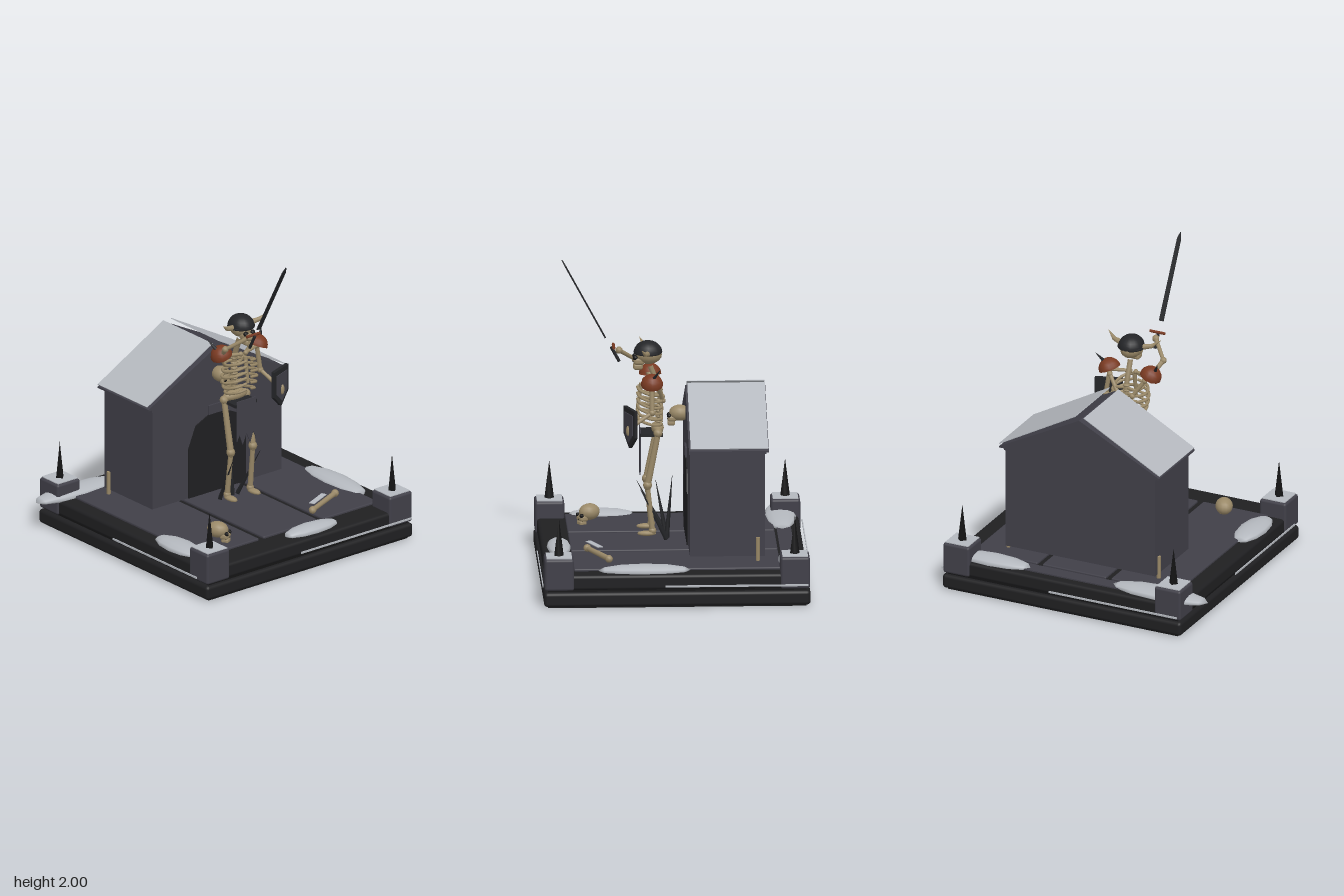
import * as THREE from 'three';
import { RoundedBoxGeometry } from 'three/addons/geometries/RoundedBoxGeometry.js';

const mat = (name, color, extra = {}) => {
  const m = new THREE.MeshStandardMaterial({ color, ...extra });
  m.name = name;
  return m;
};
const V = (x, y, z) => new THREE.Vector3(x, y, z);
const CX = 0.055; // shared centre line of base, house and skeleton

export function createModel() {
  const model = new THREE.Group();
  model.name = 'graveyardGuardian';
  const stone = mat('stone', 0x403f48);
  const darkStone = mat('darkStone', 0x1f1f21);
  const iron = mat('iron', 0x242528, { side: THREE.DoubleSide });
  const bone = mat('bone', 0x9a8968);
  const rust = mat('rust', 0x7a3a22, { side: THREE.DoubleSide });
  const snow = mat('snow', 0xb4b8be, { side: THREE.DoubleSide });
  const black = mat('black', 0x141415);

  const add = (name, geo, m, x = 0, y = 0, z = 0, parent = model) => {
    const mesh = new THREE.Mesh(geo, m);
    mesh.name = name;
    mesh.position.set(x, y, z);
    parent.add(mesh);
    return mesh;
  };
  const group = (name, parent = model) => {
    const g = new THREE.Group();
    g.name = name;
    parent.add(g);
    return g;
  };
  // box given by its limits
  const block = (name, m, x0, x1, y0, y1, z0, z1, r = 0, parent = model) => {
    const s = [x1 - x0, y1 - y0, z1 - z0];
    const geo = r ? new RoundedBoxGeometry(...s, 2, r) : new THREE.BoxGeometry(...s);
    return add(name, geo, m, (x0 + x1) / 2, (y0 + y1) / 2, (z0 + z1) / 2, parent);
  };
  // tapered rod between two points
  const rod = (name, m, a, b, r0, r1, sides, parent) => {
    const mesh = add(name, new THREE.CylinderGeometry(r1, r0, a.distanceTo(b), sides), m, 0, 0, 0, parent);
    mesh.position.copy(a).lerp(b, 0.5);
    mesh.quaternion.setFromUnitVectors(V(0, 1, 0), b.clone().sub(a).normalize());
    return mesh;
  };
  // shaft with a knob at both ends
  const limb = (name, a, b, r, parent) => {
    const g = group(name, parent);
    rod('shaft', bone, a, b, r * 0.85, r, 8, g);
    for (const p of [a, b]) add('knob', new THREE.SphereGeometry(r * 1.35, 8, 6), bone, p.x, p.y, p.z, g);
    return g;
  };
  const tube = (name, m, pts, r, parent) =>
    add(name, new THREE.TubeGeometry(new THREE.CatmullRomCurve3(pts), 14, r, 6), m, 0, 0, 0, parent);
  const plate = (name, pts, depth, m, parent = model) => {
    const shape = new THREE.Shape(pts.map(([x, y]) => new THREE.Vector2(x, y)));
    return add(name, new THREE.ExtrudeGeometry(shape, { depth, bevelEnabled: false }), m, 0, 0, 0, parent);
  };
  // skull facing +z, about 0.07 in radius
  const skull = (name, x, y, z, s, parent = model) => {
    const g = group(name, parent);
    g.position.set(x, y, z);
    g.scale.setScalar(s);
    add('cranium', new THREE.SphereGeometry(0.07, 14, 10), bone, 0, 0.01, -0.01, g).scale.set(0.95, 0.9, 1.2);
    add('cheeks', new RoundedBoxGeometry(0.085, 0.05, 0.07, 2, 0.02), bone, 0, -0.03, 0.05, g);
    add('jaw', new RoundedBoxGeometry(0.065, 0.04, 0.06, 2, 0.015), bone, 0, -0.067, 0.056, g);
    for (const e of [-1, 1]) add('eyeSocket', new THREE.SphereGeometry(0.017, 8, 6), black, e * 0.027, -0.008, 0.073, g);
    add('noseHole', new THREE.ConeGeometry(0.008, 0.018, 3), black, 0, -0.033, 0.083, g);
    return g;
  };

  // stepped base and paving
  block('lowerSlab', darkStone, -0.77, 0.88, 0.01, 0.102, -0.825, 0.825, 0.022);
  block('joint', black, -0.74, 0.85, 0, 0.13, -0.8, 0.8);
  block('upperSlab', darkStone, -0.755, 0.865, 0.113, 0.208, -0.81, 0.81, 0.02);
  for (const [x0, x1] of [[-0.65, -0.2], [-0.163, 0.275], [0.31, 0.75]]) {
    block('pavingStone', stone, x0, x1, 0.19, 0.222, -0.645, 0.635, 0.008);
  }
  block('backKerb', stone, -0.58, 0.69, 0.19, 0.216, -0.75, -0.66);

  // thin lines of snow on the four faces
  block('snowLine', snow, -0.025, 0.86, 0.134, 0.146, 0.828, 0.834);
  block('snowLine', snow, -0.75, 0.135, 0.134, 0.146, -0.842, -0.836);
  block('snowLine', snow, -0.783, -0.777, 0.134, 0.146, -0.085, 0.735);
  block('snowLine', snow, 0.883, 0.889, 0.134, 0.146, -0.81, 0.075);

  // corner posts with snow caps and spikes
  for (const sx of [-1, 1]) for (const sz of [-1, 1]) {
    const p = group('cornerPost');
    p.position.set(CX + sx * 0.73, 0, sz * 0.73);
    add('post', new RoundedBoxGeometry(0.182, 0.2, 0.182, 2, 0.016), stone, 0, 0.213, 0, p);
    add('snowCap', new THREE.BoxGeometry(0.158, 0.005, 0.158), snow, 0, 0.317, 0, p);
    add('spike', new THREE.ConeGeometry(0.03, 0.24, 4), black, 0, 0.436, 0, p);
  }

  // snow drifts: centre x, z, half length, half width, turned along z?
  for (const [x, z, l, w, alongZ] of [[-0.567, -0.695, 0.328, 0.098, 0], [0.58, -0.715, 0.26, 0.083, 0],
    [-0.655, 0.41, 0.205, 0.092, 1], [0.763, 0.2, 0.285, 0.085, 1], [0.157, 0.705, 0.205, 0.075, 0]]) {
    const geo = new THREE.SphereGeometry(1, 12, 6).rotateZ(Math.PI / 2).scale(l, 0.036, w);
    if (alongZ) geo.rotateY(Math.PI / 2);
    add('snowDrift', geo, snow, x, 0.215, z);
  }

  // tomb house
  const house = group('tombHouse');
  block('walls', stone, -0.46, 0.573, 0.25, 0.925, -0.555, -0.09, 0, house);
  block('wallTrim', stone, -0.467, 0.58, 0.9, 0.92, -0.562, -0.083, 0, house);
  plate('roof', [[-0.497, 0.918], [0.607, 0.918], [0.607, 0.928], [CX, 1.212], [-0.497, 0.928]], 0.495, stone, house)
    .position.z = -0.577;
  for (const s of [-1, 1]) {
    const p = add('roofSnow', new THREE.BoxGeometry(0.6, 0.005, 0.48), snow, CX + s * 0.292, 1.088, -0.333, house);
    p.rotation.z = -s * 0.505;
  }
  plate('doorway', [[-0.175, 0.25], [0.285, 0.25], [0.285, 0.575], [0.225, 0.72], [CX, 0.8], [-0.115, 0.72],
    [-0.175, 0.575]], 0.008, darkStone, house).position.z = -0.09;
  block('keystone', stone, CX - 0.07, CX + 0.07, 0.77, 0.83, -0.09, -0.078, 0, house);
  skull('gableSkull', CX, 1.03, -0.04, 0.8, house);

  // dark thorns behind the legs
  for (const [x, tx, ty, tz] of [[-0.02, -0.06, 0.58, 0.215], [0.03, 0.02, 0.6, 0.1], [0.08, 0.085, 0.645, 0.0],
    [0.12, 0.17, 0.58, 0.2]]) {
    rod('thorn', iron, V(x, 0.25, 0.035), V(tx, ty, tz), 0.017, 0.001, 4, model);
  }

  // skeleton
  const sk = group('skeleton');
  const head = skull('head', CX, 1.405, 0.155, 1, sk);
  add('helmet', new THREE.SphereGeometry(0.084, 16, 8, 0, Math.PI * 2, 0, Math.PI / 2), iron, 0, 0.02, -0.006, head)
    .scale.set(0.97, 0.9, 1.06);
  const band = add('helmetBand', new THREE.TorusGeometry(0.08, 0.007, 6, 20), iron, 0, 0.02, -0.006, head);
  band.rotation.x = Math.PI / 2;
  for (const s of [-1, 1]) {
    rod('horn', bone, V(s * 0.07, 0.025, 0), V(s * 0.13, 0.037, 0.015), 0.019, 0.014, 7, head);
    rod('hornTip', bone, V(s * 0.128, 0.036, 0.014), V(s * 0.182, 0.075, 0.04), 0.014, 0.001, 7, head);
  }
  tube('spine', bone, [V(CX, 0.92, 0.09), V(CX, 1.05, 0.07), V(CX, 1.2, 0.085), V(CX, 1.34, 0.135)], 0.018, sk);
  for (let i = 0; i < 8; i++) {
    add('vertebra', new THREE.SphereGeometry(0.024, 8, 5), bone, CX, 0.95 + i * 0.034, 0.08, sk).scale.y = 0.5;
  }
  rod('breastbone', bone, V(CX, 1.06, 0.215), V(CX, 1.23, 0.19), 0.01, 0.014, 6, sk);
  for (const s of [-1, 1]) {
    // ribs sweep from the spine round to the breastbone
    for (let i = 0; i < 6; i++) {
      const y = 1.175 - i * 0.038, w = [0.095, 0.115, 0.122, 0.118, 0.108, 0.092][i];
      tube('rib', bone, [V(CX, y, 0.075), V(CX + s * w * 0.7, y - 0.006, 0.07), V(CX + s * w, y, 0.13),
        V(CX + s * w * 0.7, y + 0.022, 0.2), V(CX + s * 0.012, y + 0.035, 0.215)], 0.0095, sk);
    }
    limb('collarbone', V(CX + s * 0.02, 1.245, 0.17), V(CX + s * 0.14, 1.248, 0.13), 0.012, sk);
    limb('shoulderBlade', V(CX + s * 0.05, 1.13, 0.06), V(CX + s * 0.12, 1.235, 0.09), 0.014, sk);

    // shoulder armour
    const pad = group('shoulderArmour', sk);
    pad.position.set(CX + s * 0.14, 1.252, 0.13);
    pad.rotation.z = -s * 0.4;
    add('dome', new THREE.SphereGeometry(0.07, 12, 6, 0, Math.PI * 2, 0, Math.PI / 2), rust, 0, 0, 0, pad);
    rod('spike', iron, V(s * 0.015, 0.06, -0.01), V(s * 0.025, 0.132, -0.05), 0.012, 0.001, 6, pad);

    // legs
    const x = CX + s * 0.088;
    limb('thigh', V(x, 0.93, 0.09), V(x, 0.6, 0.155), 0.021, sk);
    limb('shin', V(x, 0.59, 0.155), V(x + s * 0.004, 0.31, 0.125), 0.018, sk);
    add('foot', new THREE.SphereGeometry(1, 10, 6), bone, x + s * 0.005, 0.294, 0.16, sk).scale.set(0.028, 0.016, 0.06);
  }
  add('pelvis', new THREE.SphereGeometry(1, 12, 6), bone, CX, 0.945, 0.09, sk).scale.set(0.1, 0.035, 0.04);
  block('belt', iron, CX - 0.085, CX + 0.085, 0.905, 0.925, 0.06, 0.2, 0, sk);
  plate('loincloth', [[-0.02, 0.945], [0.13, 0.945], [0.13, 0.68], [0.108, 0.72], [0.085, 0.65], [0.055, 0.72],
    [0.025, 0.65], [0.0, 0.72], [-0.02, 0.68]], 0.006, stone, sk).position.z = 0.196;

  // raised sword arm
  const elbow = V(-0.13, 1.335, 0.22), hand = V(-0.025, 1.42, 0.325);
  limb('upperSwordArm', V(-0.085, 1.25, 0.13), elbow, 0.016, sk);
  limb('lowerSwordArm', elbow, hand, 0.014, sk);
  add('swordHand', new THREE.SphereGeometry(0.023, 8, 6), bone, hand.x, hand.y, hand.z, sk);

  // sword, built upright and then tipped forward
  const sword = group('sword', sk);
  sword.position.set(-0.02, 1.39, 0.345);
  sword.rotation.x = 0.495;
  rod('grip', iron, V(0, -0.045, 0), V(0, 0.06, 0), 0.01, 0.01, 6, sword);
  rod('guard', rust, V(-0.052, 0.057, -0.015), V(0.052, 0.057, -0.015), 0.01, 0.01, 6, sword);
  plate('blade', [[-0.015, 0.13], [0.015, 0.13], [0.013, 0.65], [0, 0.695], [-0.013, 0.65]], 0.008, iron, sword);

  // shield arm and shield
  limb('upperShieldArm', V(0.195, 1.25, 0.13), V(0.222, 1.08, 0.13), 0.016, sk);
  limb('lowerShieldArm', V(0.222, 1.08, 0.13), V(0.255, 1.01, 0.245), 0.014, sk);
  const shield = group('shield', sk);
  shield.position.set(0.266, 1, 0.255);
  shield.rotation.y = 0.36;
  const outline = [[-0.087, 0.12], [0.087, 0.12], [0.087, -0.05], [0, -0.13], [-0.087, -0.05]];
  plate('rim', outline, 0.022, iron, shield);
  plate('face', outline.map(([x, y]) => [x * 0.72, y * 0.74]), 0.006, stone, shield).position.z = 0.022;
  add('boss', new THREE.SphereGeometry(1, 10, 6), bone, 0, -0.02, 0.028, shield).scale.set(0.018, 0.034, 0.012);

  // remains on the ground
  skull('looseSkull', -0.41, 0.285, 0.5, 0.82).rotation.y = 0.5;
  limb('looseBone', V(0.31, 0.245, 0.535), V(0.59, 0.245, 0.412), 0.018, model);
  add('boneSnow', new THREE.BoxGeometry(0.17, 0.005, 0.035), snow, 0.385, 0.288, 0.495).rotation.y = 0.42;
  for (const x of [-0.463, 0.575]) rod('standingBone', bone, V(x, 0.22, -0.51), V(x, 0.37, -0.51), 0.013, 0.013, 6, model);

  return model;
}
